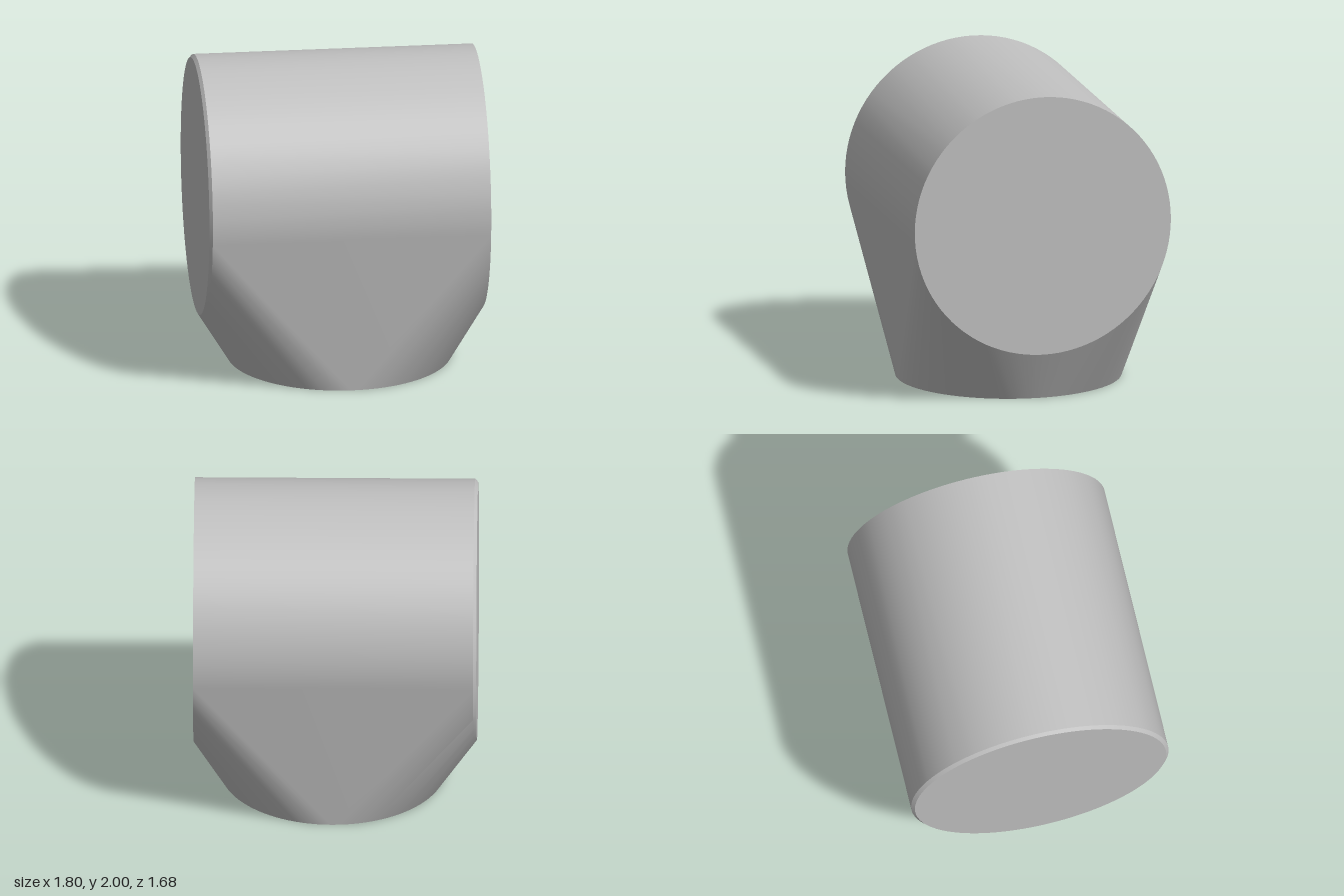
import * as THREE from 'three';
import { ConvexGeometry } from 'three/addons/geometries/ConvexGeometry.js';
import { toCreasedNormals } from 'three/addons/utils/BufferGeometryUtils.js';

const SEGMENTS = 96;

// Points of a circle placed by a function of (cos, sin)
function ring(place) {
  return Array.from({ length: SEGMENTS }, (_, i) => {
    const a = (i / SEGMENTS) * Math.PI * 2;
    return place(Math.cos(a), Math.sin(a));
  });
}

// Circle facing along x, on the barrel axis
const barrelRing = (x, r) => ring((c, s) => new THREE.Vector3(x, 1.16 + r * c, r * s));

export function createModel() {
  const group = new THREE.Group();
  const grey = new THREE.MeshStandardMaterial({ color: 0xc0c0c0 });
  grey.name = 'light grey';

  // Horizontal barrel, chamfered at one end, blended down to a round foot
  const points = [
    ...barrelRing(-0.9, 0.82),
    ...barrelRing(-0.88, 0.84),
    ...barrelRing(0.9, 0.84),
    ...ring((c, s) => new THREE.Vector3(0.02 + 0.715 * c, 0, 0.72 * s)),
  ];
  const body = new THREE.Mesh(toCreasedNormals(new ConvexGeometry(points), 0.4), grey);
  body.name = 'barrelBody';
  group.add(body);
  return group;
}
